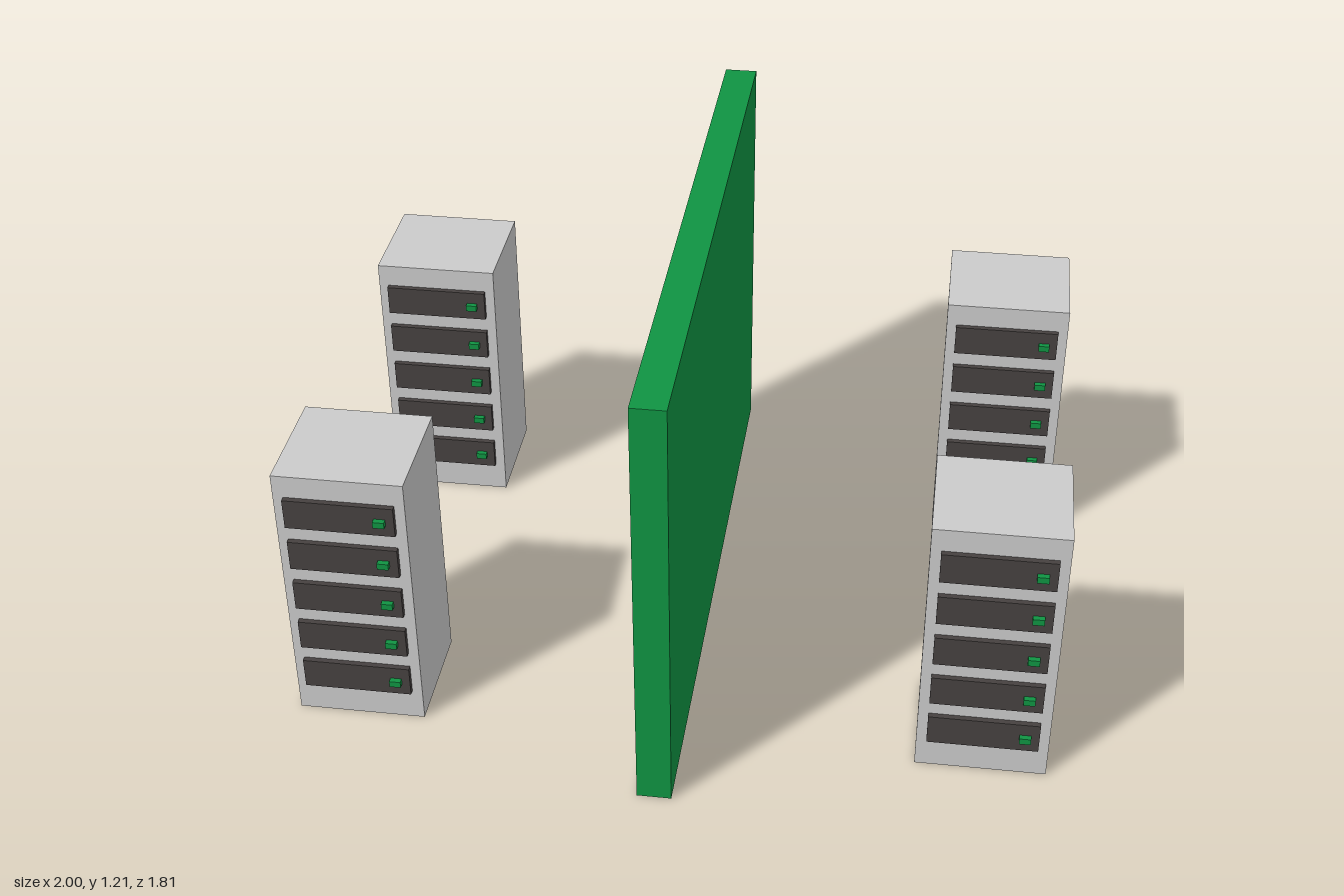
import * as THREE from 'three';

const grey = new THREE.MeshStandardMaterial({ color: 0xcccccc });
const green = new THREE.MeshStandardMaterial({ color: 0x109443 });
const dark = new THREE.MeshStandardMaterial({ color: 0x464140 });

function box(name, material, size, position) {
  const mesh = new THREE.Mesh(new THREE.BoxGeometry(...size), material);
  mesh.name = name;
  mesh.position.set(...position);
  return mesh;
}

// Cabinet with five front panels, each with a small indicator light
function createCabinet() {
  const cabinet = new THREE.Group();
  cabinet.name = 'serverCabinet';
  cabinet.add(box('cabinetBody', grey, [0.342, 0.768, 0.314], [0, 0.384, 0]));
  for (let i = 0; i < 5; i++) {
    const y = 0.133 + i * 0.132;
    cabinet.add(box('serverPanel', dark, [0.288, 0.086, 0.03], [0, y, 0.157]));
    cabinet.add(box('indicatorLight', green, [0.03, 0.018, 0.03], [0.107, y, 0.172]));
  }
  return cabinet;
}

export function createModel() {
  const model = new THREE.Group();
  model.name = 'serverRoom';

  // Dividing wall
  model.add(box('dividingWall', green, [0.09, 1.205, 1.806], [0, 0.6025, 0]));

  // Two cabinets on each side of the wall, all facing the front
  for (const x of [-0.829, 0.829]) {
    for (const z of [-0.528, 0.528]) {
      const cabinet = createCabinet();
      cabinet.position.set(x, 0, z);
      model.add(cabinet);
    }
  }
  return model;
}
